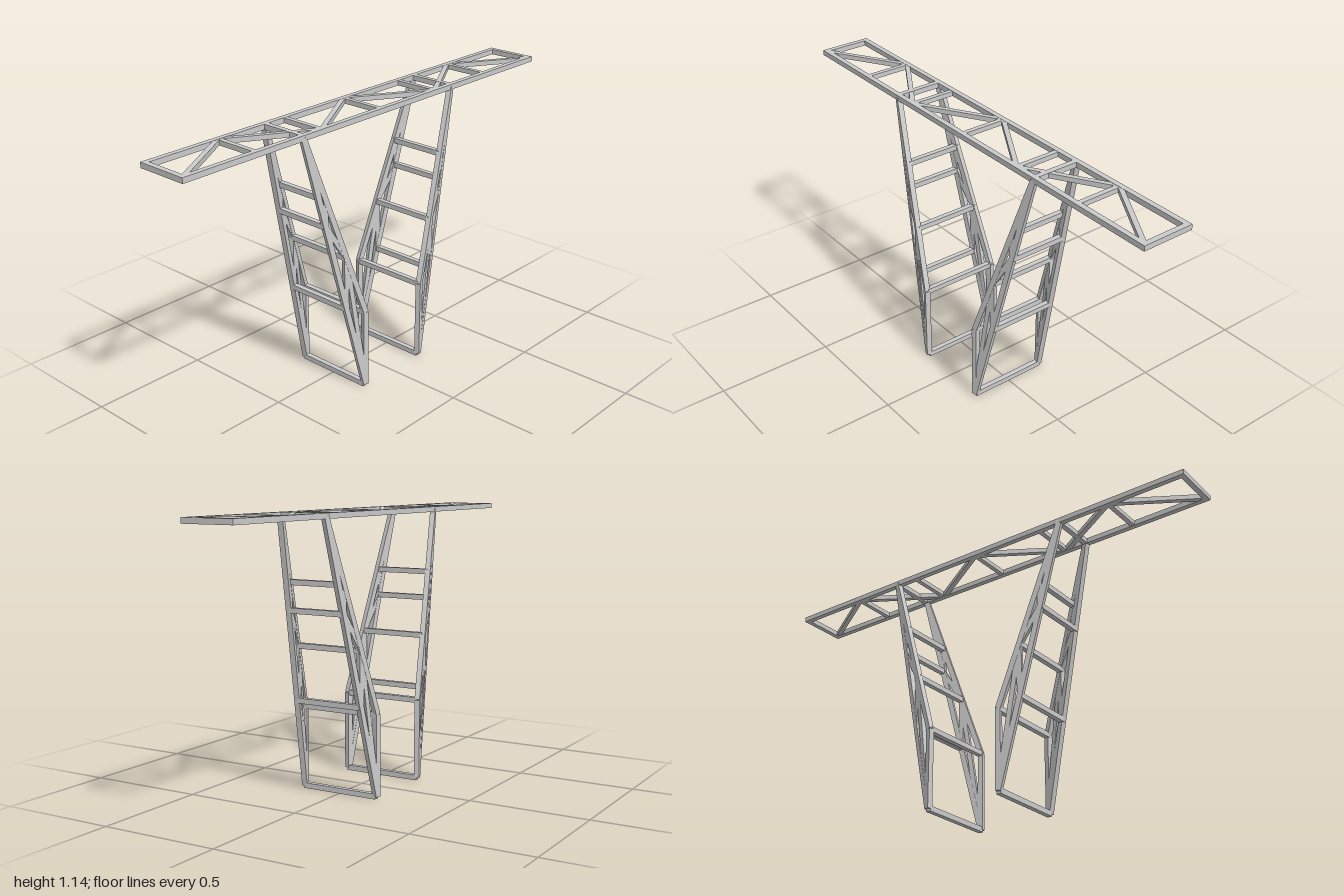
import * as THREE from 'three';

const T = 0.022; // bar thickness
const material = new THREE.MeshStandardMaterial({ color: 0xcccccc });

// Square bar between two points; `normal` sets how the section is turned
function bar(parent, name, a, b, normal, t = T, extend = 0) {
  const dir = b.clone().sub(a);
  const length = dir.length() + extend;
  dir.normalize();
  const side = new THREE.Vector3().crossVectors(normal, dir).normalize();
  const up = new THREE.Vector3().crossVectors(dir, side);
  const mesh = new THREE.Mesh(new THREE.BoxGeometry(t, t, length), material);
  mesh.quaternion.setFromRotationMatrix(new THREE.Matrix4().makeBasis(side, up, dir));
  mesh.position.copy(a).add(b).multiplyScalar(0.5);
  mesh.name = name;
  parent.add(mesh);
}

const V = (x, y, z) => new THREE.Vector3(x, y, z);
const UP = V(0, 1, 0);
const DECK_Y = 1.132, DECK_Z = 0.1, END_X = 0.989;

// Flat horizontal truss
function createDeck() {
  const deck = new THREE.Group();
  deck.name = 'topTruss';
  for (const z of [-DECK_Z, DECK_Z]) {
    bar(deck, 'deckRail', V(-END_X, DECK_Y, z), V(END_X, DECK_Y, z), UP, T, T);
  }
  const step = END_X / 3;
  for (let i = -3; i <= 3; i++) {
    const x = i * step;
    const isEnd = Math.abs(i) === 3;
    bar(deck, isEnd ? 'deckEnd' : 'deckCrossbar', V(x, DECK_Y, -DECK_Z), V(x, DECK_Y, DECK_Z), UP, isEnd ? T : 0.02);
    if (i < 3) {
      const z = i % 2 ? DECK_Z : -DECK_Z;
      bar(deck, 'deckDiagonal', V(x, DECK_Y, z), V(x + step, DECK_Y, -z), UP, 0.02);
    }
  }
  return deck;
}

// Leg tower: two triangular side trusses joined by rungs
function createLeg(s) {
  const leg = new THREE.Group();
  leg.name = s > 0 ? 'leftLeg' : 'rightLeg';
  const foot = V(0.17, 0.011, 0.17);
  const knee = V(0.17, 0.345, 0.17);
  const apex = V(0.43, DECK_Y, DECK_Z);
  const outer = [1 / 3, 2 / 3].map(t => foot.clone().lerp(apex, t));
  const inner = [1 / 3, 2 / 3].map(t => knee.clone().lerp(apex, t));
  const at = (p, f) => V(p.x * s, p.y, p.z * f);

  for (const f of [-1, 1]) {
    const side = new THREE.Group();
    side.name = f > 0 ? 'frontSideTruss' : 'backSideTruss';
    leg.add(side);
    const normal = V(0.07 * s, 0, 0.26 * f).normalize();
    const add = (name, a, b, t) => bar(side, name, at(a, f), at(b, f), normal, t);
    add('outerChord', foot, apex);
    add('innerChord', knee, apex);
    add('footPost', foot, knee);
    // Web members
    add('webPost', outer[0], inner[0], 0.02);
    add('webPost', outer[1], inner[1], 0.02);
    add('webDiagonal', foot, inner[0], 0.02);
    add('webDiagonal', inner[0], outer[1], 0.02);
  }
  // Rungs across the two sides
  for (const p of [foot, knee, apex, ...outer, ...inner]) {
    bar(leg, 'rung', at(p, -1), at(p, 1), UP);
  }
  return leg;
}

export function createModel() {
  const model = new THREE.Group();
  model.name = 'trussStand';
  model.add(createDeck(), createLeg(1), createLeg(-1));
  return model;
}
